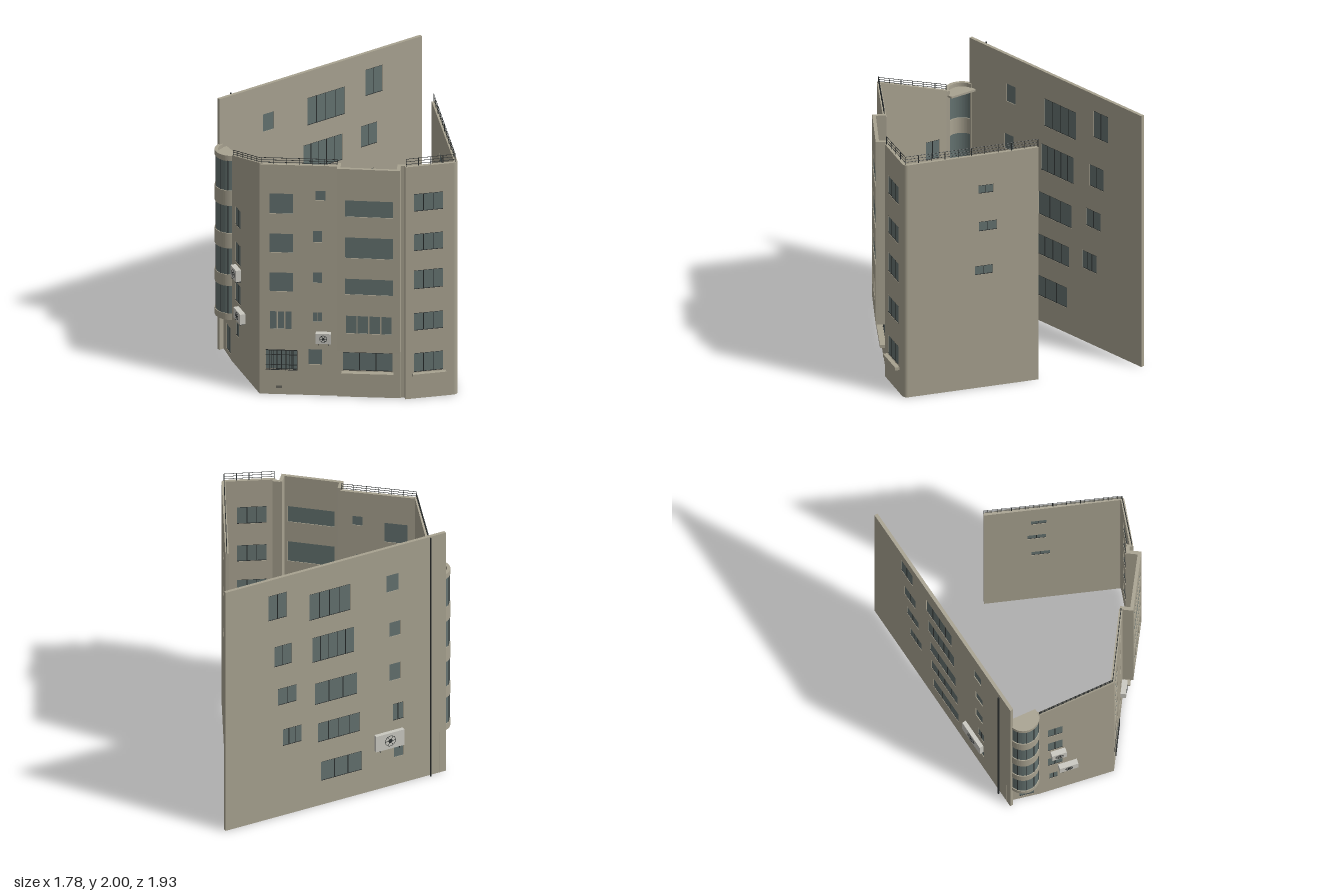
import * as THREE from 'three';

const mat = (name, color) => {
  const m = new THREE.MeshStandardMaterial({ color });
  m.name = name;
  return m;
};

export function createModel() {
  const plaster = mat('plaster', 0xa8a290);
  const glass = mat('glass', 0x63716f);
  const metal = mat('darkMetal', 0x2b2f2f);
  const casing = mat('unitCasing', 0xc9c8c0);
  const model = new THREE.Group();
  model.name = 'building';
  const T = 0.025; // wall thickness

  const add = (parent, name, geo, m) => {
    const mesh = new THREE.Mesh(geo, m);
    mesh.name = name;
    parent.add(mesh);
    return mesh;
  };
  const box = (parent, name, m, w, h, d, x, y, z) =>
    add(parent, name, new THREE.BoxGeometry(w, h, d), m).position.set(x, y, z);

  // Round bar between two points
  const bar = (parent, name, a, b, r = 0.0025) => {
    const d = b.clone().sub(a);
    const mesh = add(parent, name, new THREE.CylinderGeometry(r, r, d.length(), 6), metal);
    mesh.position.copy(a).add(b).multiplyScalar(0.5);
    mesh.quaternion.setFromUnitVectors(new THREE.Vector3(0, 1, 0), d.normalize());
  };

  // Upright prism over a plan outline of [x, z] points
  const prism = (name, pts, y0, y1, m) => {
    const shape = new THREE.Shape(pts.map(([x, z]) => new THREE.Vector2(x, -z)));
    const geo = new THREE.ExtrudeGeometry(shape, { depth: y1 - y0, bevelEnabled: false });
    geo.rotateX(-Math.PI / 2).translate(0, y0, 0);
    return add(model, name, geo, m);
  };
  const arc = (cx, cz, r, a0, a1, n = 24) => Array.from({ length: n + 1 }, (_, i) => {
    const a = THREE.MathUtils.degToRad(a0 + (a1 - a0) * i / n);
    return [cx + r * Math.cos(a), cz + r * Math.sin(a)];
  });
  const ring = (name, cx, cz, r0, r1, a0, a1, y0, y1, m) =>
    prism(name, [...arc(cx, cz, r1, a0, a1), ...arc(cx, cz, r0, a1, a0)], y0, y1, m);

  // Straight wall along its outer line; windows are [c0, c1, y0, y1, mullions]
  // with c measured on the world axis given (0 = x, 1 = z)
  const wall = (name, p, q, y0, h0, h1, axis = 0, windows = []) => {
    const dx = q[0] - p[0], dz = q[1] - p[1], L = Math.hypot(dx, dz);
    const at = (c) => (c - p[axis]) / (q[axis] - p[axis]) * L;
    const g = new THREE.Group();
    g.name = name;
    g.position.set(p[0], 0, p[1]);
    g.rotation.y = Math.atan2(-dz, dx);
    model.add(g);
    const rect = (C, a, b, c, d) => new C([[a, c], [b, c], [b, d], [a, d]].map((v) => new THREE.Vector2(...v)));
    const shape = new THREE.Shape([[0, y0], [L, y0], [L, h1], [0, h0]].map((v) => new THREE.Vector2(...v)));
    for (const [c0, c1, b, t, n = 0] of windows) {
      const u0 = Math.min(at(c0), at(c1)), u1 = Math.max(at(c0), at(c1));
      const w = u1 - u0, um = (u0 + u1) / 2, ym = (b + t) / 2;
      shape.holes.push(rect(THREE.Path, u0, u1, b, t));
      box(g, 'windowGlass', glass, w, t - b, T * 0.6, um, ym, -T / 2);
      for (let i = 1; i <= n; i++)
        box(g, 'mullion', metal, 0.005, t - b, T * 0.8, u0 + w * i / (n + 1), ym, -T / 2);
      if (n) for (const y of [b + 0.002, t - 0.002])
        box(g, 'windowFrame', metal, w, 0.004, T * 0.8, um, y, -T / 2);
    }
    const geo = new THREE.ExtrudeGeometry(shape, { depth: T, bevelEnabled: false });
    add(g, name + 'Panel', geo.translate(0, 0, -T), plaster);
    return { g, at };
  };

  // Air conditioner: casing, fan and brackets
  const airUnit = ({ g, at }, c, y, w = 0.11, h = 0.08, d = 0.04) => {
    const u = new THREE.Group();
    u.name = 'airUnit';
    u.position.set(at(c), y, 0);
    g.add(u);
    box(u, 'casing', casing, w, h, d, 0, 0, d / 2 + 0.003);
    add(u, 'fanRing', new THREE.TorusGeometry(h * 0.32, 0.002, 6, 24), metal).position.z = d + 0.004;
    add(u, 'fanHub', new THREE.CylinderGeometry(h * 0.12, h * 0.12, 0.004, 16).rotateX(Math.PI / 2), metal).position.z = d + 0.004;
    for (let i = 0; i < 3; i++)
      add(u, 'fanBlade', new THREE.BoxGeometry(h * 0.6, 0.003, 0.002).rotateZ(i * Math.PI / 3), metal).position.z = d + 0.004;
    for (const s of [-1, 1]) box(u, 'bracket', metal, 0.005, 0.014, d, s * w * 0.33, -h / 2 - 0.007, d / 2);
  };

  // Railing with posts and three rails
  const railing = (p, y0, q, y1, h, n) => {
    const g = new THREE.Group();
    g.name = 'railing';
    model.add(g);
    const pt = (t, dy) => new THREE.Vector3(p[0] + (q[0] - p[0]) * t, y0 + (y1 - y0) * t + dy, p[1] + (q[1] - p[1]) * t);
    for (let i = 0; i <= n; i++) bar(g, 'post', pt(i / n, 0), pt(i / n, h));
    for (const k of [0.3, 0.65, 1]) bar(g, 'rail', pt(0, h * k), pt(1, h * k), 0.002);
  };

  // Tall rear wall
  const rear = wall('rearWall', [0.5, -0.96], [-0.88, 0.17], 0, 2, 2, 1, [
    [-0.53, -0.32, 1.57, 1.79, 3], [-0.515, -0.3, 1.21, 1.42, 4], [-0.5, -0.285, 0.85, 1.03, 2],
    [-0.485, -0.27, 0.53, 0.69, 3], [-0.47, -0.26, 0.2, 0.36, 2],
    [-0.74, -0.645, 1.66, 1.87, 1], [-0.71, -0.62, 1.26, 1.43, 1], [-0.69, -0.595, 0.93, 1.07, 1],
    [-0.665, -0.57, 0.58, 0.72, 2], [-0.133, -0.072, 1.63, 1.77], [-0.118, -0.062, 1.25, 1.37],
    [-0.118, -0.062, 0.88, 1.02], [-0.1, -0.047, 0.54, 0.68, 1], [-0.097, -0.047, 0.23, 0.33]]);
  airUnit(rear, -0.125, 0.4, 0.23, 0.13, 0.03);
  bar(model, 'drainPipe', new THREE.Vector3(-0.79, 0, 0.075), new THREE.Vector3(-0.79, 2, 0.075), 0.006);

  // Left wall with sloping top
  const left = wall('leftWall', [-0.765, 0.36], [-0.53, 0.88], 0, 1.64, 1.84, 0, [
    [-0.735, -0.69, 1.125, 1.27, 1], [-0.735, -0.69, 0.83, 0.99, 1],
    [-0.735, -0.69, 0.52, 0.67, 1], [-0.73, -0.705, 0.25, 0.355, 1]]);
  airUnit(left, -0.705, 0.77, 0.11, 0.09);
  airUnit(left, -0.675, 0.465, 0.14, 0.08);

  // Front wall
  const front = wall('frontWall', [-0.53, 0.88], [0.04, 0.88], 0, 1.83, 1.83, 0, [
    [-0.46, -0.29, 1.44, 1.6], [-0.46, -0.29, 1.13, 1.28], [-0.46, -0.29, 0.82, 0.97],
    [-0.455, -0.41, 0.52, 0.66], [-0.4, -0.355, 0.52, 0.66], [-0.345, -0.3, 0.52, 0.66],
    [-0.485, -0.26, 0.2, 0.355, 5], [-0.13, -0.055, 1.555, 1.63], [-0.145, -0.08, 1.22, 1.31],
    [-0.145, -0.08, 0.895, 0.98], [-0.145, -0.115, 0.585, 0.66], [-0.11, -0.08, 0.585, 0.66],
    [-0.18, -0.08, 0.245, 0.365]]);
  airUnit(front, -0.07, 0.47);
  for (let i = 0; i < 9; i++) box(model, 'grilleBar', metal, 0.003, 0.16, 0.004, -0.487 + i * 0.0285, 0.277, 0.89);
  for (const y of [0.2, 0.24, 0.32, 0.355]) box(model, 'grilleRail', metal, 0.228, 0.004, 0.004, -0.373, y, 0.89);
  for (const x of [-0.405, -0.39, -0.375]) box(model, 'vent', metal, 0.007, 0.018, 0.004, x, 0.06, 0.881);

  // Projecting front bay over a recessed ground floor
  const bayWindows = [[1.47, 1.6], [1.14, 1.305], [0.85, 0.975]].map(([b, t]) => [0.09, 0.435, b, t]);
  for (let i = 0; i < 4; i++) bayWindows.push([0.095 + i * 0.085, 0.17 + i * 0.085, 0.54, 0.68]);
  wall('bayFront', [0.03, 0.958], [0.485, 0.968], 0.4, 1.85, 1.85, 0, bayWindows);
  wall('bayLeftSide', [0.03, 0.86], [0.03, 0.957], 0.4, 1.85, 1.85, 1);
  wall('bayRightSide', [0.485, 0.967], [0.485, 0.86], 0.4, 1.85, 1.85, 1);
  prism('baySoffit', [[0.03, 0.865], [0.485, 0.865], [0.485, 0.967], [0.03, 0.957]], 0.395, 0.41, plaster);
  wall('bayGroundWall', [0.03, 0.89], [0.485, 0.89], 0, 0.4, 0.4, 0, [[0.07, 0.425, 0.21, 0.355, 2]]);
  box(model, 'baySill', plaster, 0.375, 0.024, 0.045, 0.247, 0.193, 0.91);
  wall('recessStrip', [0.475, 0.88], [0.53, 0.88], 0, 1.85, 1.85);

  // Right front wall, rounded corner and right wall
  const G0 = [0.52, 0.905], G1 = [0.86, 0.805], H0 = [0.883, 0.764], H1 = [0.66, -0.19];
  const rightFront = wall('rightFrontWall', G0, G1, 0, 1.85, 1.85, 0,
    [[1.49, 1.63], [1.175, 1.31], [0.87, 1.02], [0.54, 0.68], [0.21, 0.36]].map(([b, t]) => [0.58, 0.785, b, t, 2]));
  box(rightFront.g, 'windowSill', plaster, 0.245, 0.024, 0.035, rightFront.at(0.685), 0.193, 0.015);
  ring('roundedCorner', 0.85, 0.772, 0.009, 0.034, -14, 74, 0, 1.85, plaster);
  wall('rightWall', H0, H1, 0, 1.85, 1.85, 1, [
    [0.14, 0.25, 1.545, 1.61, 1], [0.115, 0.245, 1.245, 1.32, 1], [0.145, 0.275, 0.9, 0.97, 1]]);

  // Curved corner bay with glazed bands
  const cx = -0.775, cz = 0.25, a0 = 70, a1 = 227;
  for (const [b, t] of [[0.33, 0.38], [0.6, 0.69], [0.9, 1.02], [1.24, 1.36], [1.6, 1.64]])
    ring('curvedBand', cx, cz, 0.095, 0.12, a0, a1, b, t, plaster);
  for (const y of [0.33, 1.595])
    prism('curvedBaySlab', [...arc(cx, cz, 0.115, a0, a1), [-0.82, 0.14], [-0.705, 0.33]], y, y + 0.015, plaster);
  for (const [b, t] of [[0.38, 0.6], [0.69, 0.9], [1.02, 1.24], [1.36, 1.6]]) {
    ring('curvedGlass', cx, cz, 0.103, 0.114, a0 + 4, a1 - 6, b, t, glass);
    for (const [s, e] of [[a0, a0 + 4], [a1 - 6, a1]]) ring('curvedJamb', cx, cz, 0.095, 0.12, s, e, b, t, plaster);
    for (const a of [98, 130, 162, 194]) {
      const [[x, z]] = arc(cx, cz, 0.114, a, a, 1);
      bar(model, 'curvedMullion', new THREE.Vector3(x, b, z), new THREE.Vector3(x, t, z), 0.003);
    }
  }
  // Entrance below the curved bay
  wall('entranceWall', [-0.845, 0.14], [-0.762, 0.365], 0, 0.34, 0.34, 1, [[0.23, 0.33, 0.04, 0.24, 1]]);

  // Roof railings
  railing([-0.755, 0.365], 1.64, [-0.52, 0.87], 1.83, 0.045, 6);
  railing([-0.52, 0.87], 1.83, [0.03, 0.87], 1.83, 0.05, 6);
  railing([0.525, 0.893], 1.85, [0.87, 0.785], 1.85, 0.06, 4);
  railing([0.87, 0.785], 1.85, [0.65, -0.187], 1.85, 0.06, 10);
  return model;
}
